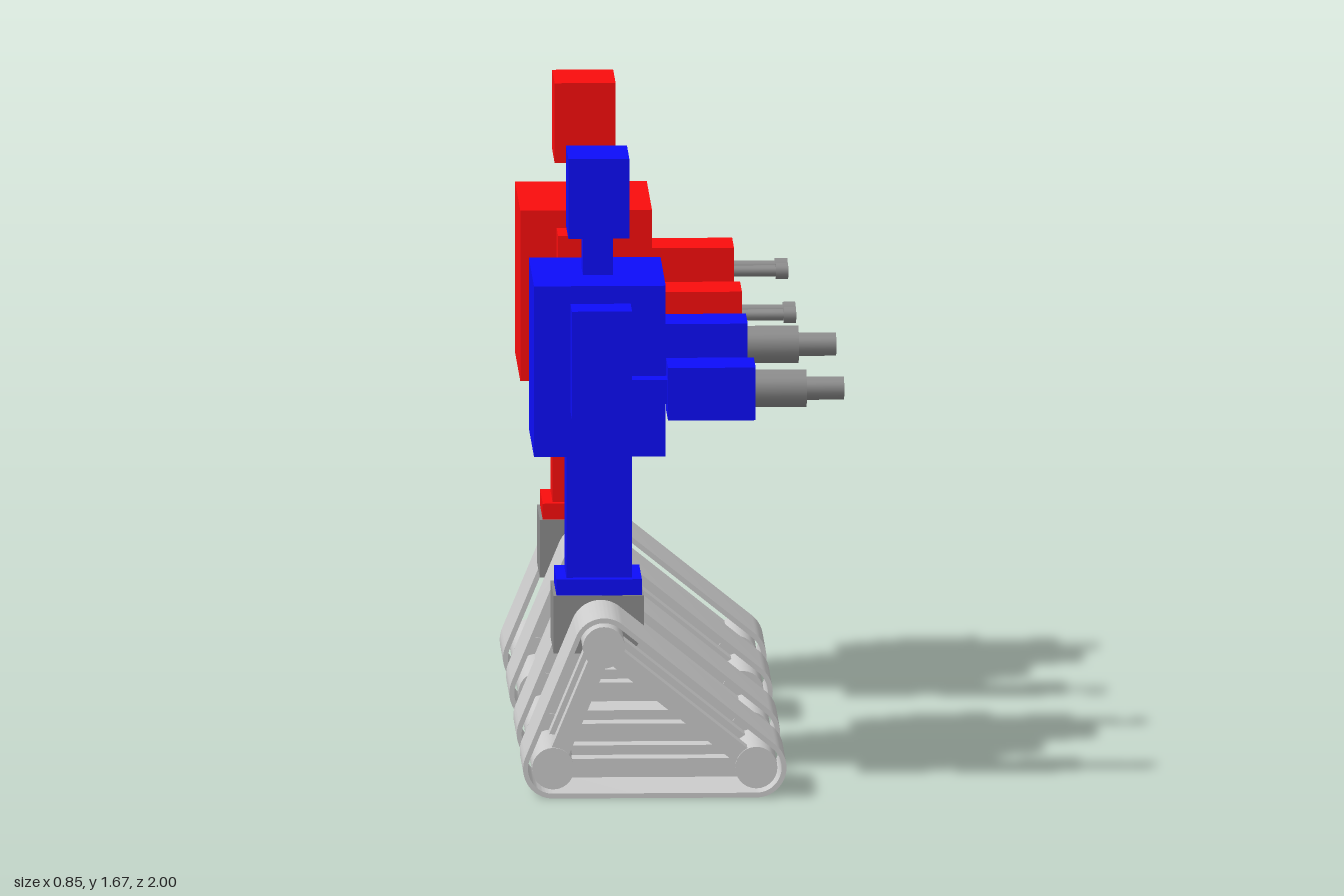
import * as THREE from 'three';
import { toCreasedNormals } from 'three/addons/utils/BufferGeometryUtils.js';

const grey = new THREE.MeshStandardMaterial({ color: 0xcccccc });
const darkGrey = new THREE.MeshStandardMaterial({ color: 0x8c8c8c });
const blue = new THREE.MeshStandardMaterial({ color: 0x0d0dfa });
const red = new THREE.MeshStandardMaterial({ color: 0xfa0d0d });

function add(parent, name, geometry, material) {
  const mesh = new THREE.Mesh(geometry, material);
  mesh.name = name;
  parent.add(mesh);
  return mesh;
}

// Box given by its x and y limits, its depth and its middle in z
function box(parent, name, material, x0, x1, y0, y1, depth, z = 0) {
  const mesh = add(parent, name, new THREE.BoxGeometry(x1 - x0, y1 - y0, depth), material);
  mesh.position.set((x0 + x1) / 2, (y0 + y1) / 2, z);
  return mesh;
}

// Cylinder lying along x
function barrel(parent, name, x0, x1, radius, y, z) {
  const geometry = new THREE.CylinderGeometry(radius, radius, x1 - x0, 24).rotateZ(Math.PI / 2);
  add(parent, name, geometry, darkGrey).position.set((x0 + x1) / 2, y, z);
}

// Wheel centres of a track, counter-clockwise
const hubs = [[-0.35, 0.08], [0.19, 0.08], [-0.215, 0.405]].map(p => new THREE.Vector2(...p));
const trackWidth = 0.286;

// Closed outline around the three wheels at a given distance
function loopAround(path, radius) {
  const normalAngle = (a, b) => Math.atan2(-(b.x - a.x), b.y - a.y);
  hubs.forEach((hub, i) => {
    const before = hubs[(i + 2) % 3], after = hubs[(i + 1) % 3];
    path.absarc(hub.x, hub.y, radius, normalAngle(before, hub), normalAngle(hub, after), false);
  });
  path.closePath();
  return path;
}

function createTrack() {
  const track = new THREE.Group();
  track.name = 'track';
  const outline = loopAround(new THREE.Shape(), 0.08);
  outline.holes.push(loopAround(new THREE.Path(), 0.067));
  const belt = new THREE.ExtrudeGeometry(outline, { depth: trackWidth, bevelEnabled: false, curveSegments: 14 });
  belt.translate(0, 0, -trackWidth / 2);
  add(track, 'belt', toCreasedNormals(belt, 0.6), grey);

  hubs.forEach((hub, i) => {
    const wheel = new THREE.CylinderGeometry(0.056, 0.056, trackWidth - 0.006, 28).rotateX(Math.PI / 2);
    add(track, 'wheel', wheel, grey).position.set(hub.x, hub.y, 0);
    // Frame bars join neighbouring wheels on both faces
    const next = hubs[(i + 1) % 3];
    for (const side of [-1, 1]) {
      const bar = add(track, 'frameBar', new THREE.BoxGeometry(hub.distanceTo(next), 0.05, 0.06), grey);
      bar.position.set((hub.x + next.x) / 2, (hub.y + next.y) / 2, side * (trackWidth / 2 - 0.04));
      bar.rotation.z = Math.atan2(next.y - hub.y, next.x - hub.x);
    }
  });
  return track;
}

function createArm(material, twinGuns) {
  const arm = new THREE.Group();
  arm.name = 'arm';
  box(arm, 'upperArm', material, -0.3, -0.14, 1.02, 1.31, 0.12);
  box(arm, 'elbow', material, -0.15, -0.04, 1.055, 1.12, 0.064);
  box(arm, 'forearm', material, -0.045, 0.188, 1.018, 1.16, 0.156);
  if (twinGuns) {
    for (const z of [-0.036, 0.036]) {
      barrel(arm, 'gunBarrel', 0.18, 0.31, 0.015, 1.09, z);
      barrel(arm, 'gunMuzzle', 0.3, 0.333, 0.022, 1.09, z);
    }
  } else {
    barrel(arm, 'cannonBase', 0.18, 0.325, 0.05, 1.09, 0);
    barrel(arm, 'cannonTip', 0.32, 0.425, 0.031, 1.09, 0);
  }
  return arm;
}

function createRobot(material, twinGuns) {
  const robot = new THREE.Group();

  // Hip block with its lower front edge cut off
  const profile = new THREE.Shape([[-0.34, 0.34], [-0.13, 0.34], [-0.1, 0.39], [-0.1, 0.495], [-0.34, 0.495]]
    .map(p => new THREE.Vector2(...p)));
  const hip = new THREE.ExtrudeGeometry(profile, { depth: 0.24, bevelEnabled: false }).translate(0, 0, -0.12);
  add(robot, 'hip', hip, darkGrey);
  const axle = new THREE.CylinderGeometry(0.04, 0.04, 0.3, 20).rotateX(Math.PI / 2);
  add(robot, 'hipAxle', axle, grey).position.set(hubs[2].x, hubs[2].y, 0);

  // Body, neck and head
  box(robot, 'waistPlate', material, -0.332, -0.105, 0.495, 0.538, 0.228);
  box(robot, 'waist', material, -0.305, -0.13, 0.53, 0.9, 0.172);
  box(robot, 'torso', material, -0.395, -0.045, 0.888, 1.348, 0.444);
  box(robot, 'neck', material, -0.26, -0.18, 1.34, 1.46, 0.104);
  box(robot, 'head', material, -0.3, -0.138, 1.455, 1.67, 0.208);

  // Arms and tracks on both sides
  for (const side of [-1, 1]) {
    box(robot, 'shoulder', material, -0.26, -0.18, 1.215, 1.29, 0.08, side * 0.25);
    const arm = createArm(material, twinGuns);
    arm.position.z = side * 0.338;
    const track = createTrack();
    track.position.z = side * 0.269;
    robot.add(arm, track);
  }
  return robot;
}

export function createModel() {
  const model = new THREE.Group();
  model.name = 'robotPair';
  const cannonRobot = createRobot(blue, false);
  cannonRobot.name = 'cannonRobot';
  cannonRobot.position.z = 0.584;
  const gunRobot = createRobot(red, true);
  gunRobot.name = 'gunRobot';
  gunRobot.position.z = -0.584;
  model.add(cannonRobot, gunRobot);
  return model;
}
